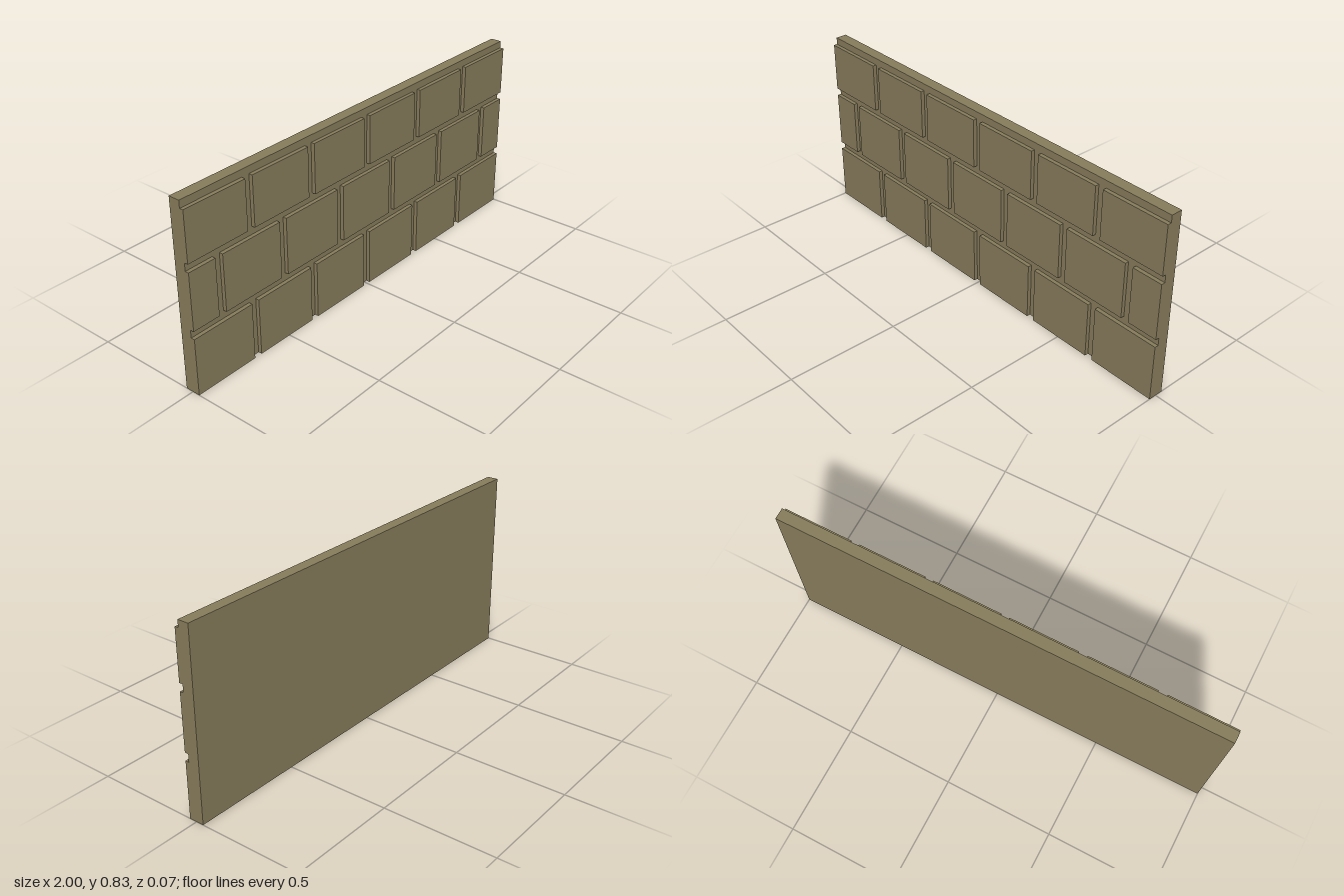
import * as THREE from 'three';

const WIDTH = 2, HEIGHT = 0.83;
const BACK = -0.034, FACE = 0.017, FRONT = 0.034; // z of slab back, mortar face, block face
const PITCH = 0.339, BLOCK = 0.303;

export function createModel() {
  const model = new THREE.Group();
  model.name = 'blockWall';
  const stone = new THREE.MeshStandardMaterial({ color: 0x857a5a });
  stone.name = 'olive stone';

  // Box given by its lower and upper bounds
  function box(name, parent, x0, x1, y0, y1, z0, z1) {
    const mesh = new THREE.Mesh(new THREE.BoxGeometry(x1 - x0, y1 - y0, z1 - z0), stone);
    mesh.position.set((x0 + x1) / 2, (y0 + y1) / 2, (z0 + z1) / 2);
    mesh.name = name;
    parent.add(mesh);
  }

  // Backing slab, seen as the recessed mortar joints
  box('backingSlab', model, -WIDTH / 2, WIDTH / 2, 0, HEIGHT, BACK, FACE);

  // Three courses of raised blocks in running bond, cut off at the wall ends
  const courses = [
    { name: 'bottomCourse', y0: 0, y1: 0.255, start: -1.002 },
    { name: 'middleCourse', y0: 0.29, y1: 0.543, start: -1.172 },
    { name: 'topCourse', y0: 0.578, y1: 0.798, start: -1.002 },
  ];
  for (const { name, y0, y1, start } of courses) {
    const course = new THREE.Group();
    course.name = name;
    for (let x = start; x < WIDTH / 2 - 0.05; x += PITCH) {
      const left = Math.max(x, -WIDTH / 2);
      let right = Math.min(x + BLOCK, WIDTH / 2);
      if (WIDTH / 2 - right < 0.01) right = WIDTH / 2;
      box('block', course, left, right, y0, y1, FACE, FRONT);
    }
    model.add(course);
  }
  return model;
}
